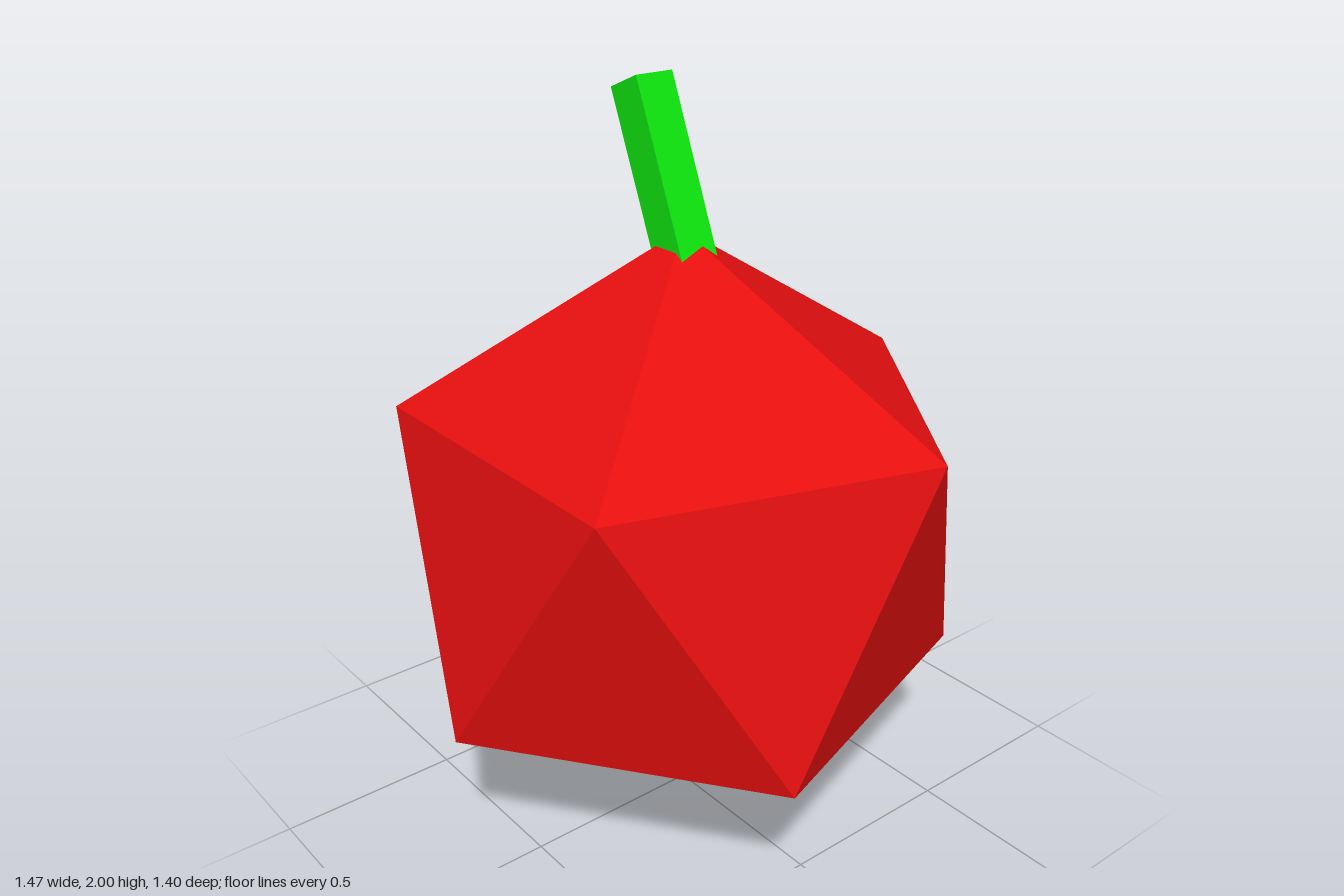
import * as THREE from 'three';
import { ConvexGeometry } from 'three/addons/geometries/ConvexGeometry.js';

export function createModel() {
  const group = new THREE.Group();
  const red = new THREE.MeshStandardMaterial({ color: 0xe60f0f, flatShading: true });
  red.name = 'fruit red';
  const green = new THREE.MeshStandardMaterial({ color: 0x0fe60f, flatShading: true });
  green.name = 'stem green';

  // Fruit: regular icosahedron standing on one vertex
  const R = 0.82;
  const ring = R * 2 / Math.sqrt(5);
  const rise = R / Math.sqrt(5);
  const points = [new THREE.Vector3(0, R, 0), new THREE.Vector3(0, -R, 0)];
  for (let i = 0; i < 10; i++) {
    const a = i * Math.PI / 5;
    points.push(new THREE.Vector3(ring * Math.cos(a), i % 2 ? -rise : rise, ring * Math.sin(a)));
  }
  const fruit = new THREE.Mesh(new ConvexGeometry(points), red);
  fruit.name = 'fruit';
  fruit.position.y = R;
  group.add(fruit);

  // Stem: square bar leaning back, its foot sunk into the fruit
  const length = 0.52;
  const tilt = Math.PI / 8;
  const stemGeometry = new THREE.BoxGeometry(0.11, length, 0.11);
  stemGeometry.translate(0, -length / 2, 0);
  const stem = new THREE.Mesh(stemGeometry, green);
  stem.name = 'stem';
  stem.rotation.x = -tilt;
  stem.position.set(0, 1.979, -0.161);
  group.add(stem);

  return group;
}
